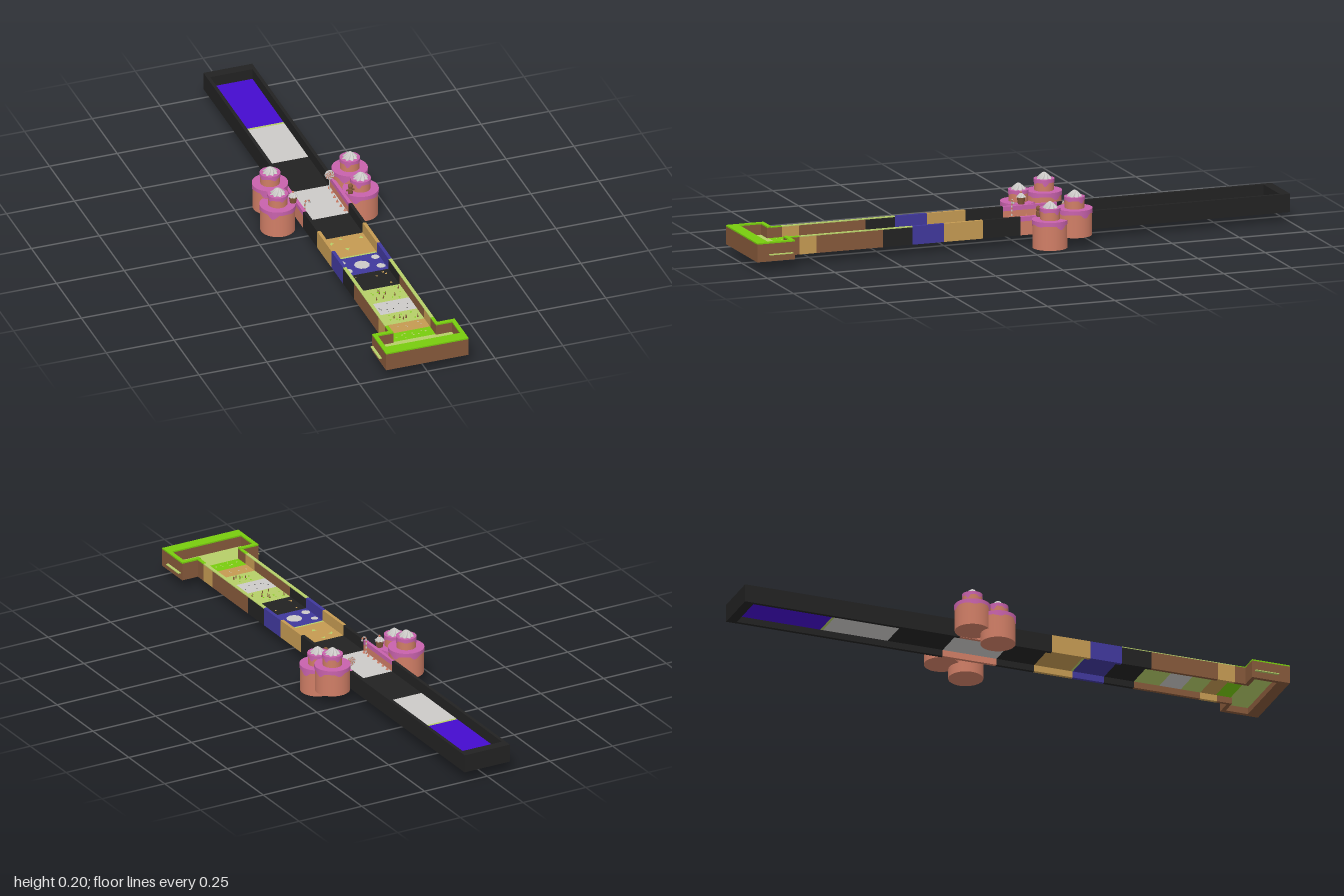
import * as THREE from 'three';

const mat = (name, color, side = THREE.FrontSide) => {
  const m = new THREE.MeshStandardMaterial({ color, side });
  m.name = name;
  return m;
};
const M = {
  brown: mat('earth brown', 0x85583a),
  black: mat('charcoal', 0x222222),
  lime: mat('grass lime', 0x78cc0e),
  pale: mat('pale green', 0xb6ce68),
  tan: mat('sand tan', 0xc49a52),
  blue: mat('deep blue', 0x40389c),
  purple: mat('violet', 0x450bce),
  white: mat('cream white', 0xcccac8),
  salmon: mat('biscuit salmon', 0xd07e66),
  pink: mat('icing pink', 0xc862ac, THREE.DoubleSide),
};

// Small seeded random generator
let seed = 7;
const rnd = () => (seed = (seed * 16807) % 2147483647) / 2147483647;

function add(parent, name, geo, material, x = 0, y = 0, z = 0) {
  const m = new THREE.Mesh(geo, material);
  m.name = name;
  m.position.set(x, y, z);
  parent.add(m);
  return m;
}

// Box given by its limits
function block(parent, name, material, x0, x1, y0, y1, z0, z1) {
  return add(parent, name, new THREE.BoxGeometry(x1 - x0, y1 - y0, z1 - z0), material,
    (x0 + x1) / 2, (y0 + y1) / 2, (z0 + z1) / 2);
}

const BOTTOM = 0.035, TOP = 0.1, FLOOR = 0.06, OUT = 0.09, IN = 0.078;

// Flat flecks lying on the floor
function flecks(parent, name, material, n, z0, z1, size, sides = 5) {
  for (let i = 0; i < n; i++) {
    const f = add(parent, name, new THREE.CircleGeometry(size * (0.6 + 0.4 * rnd()), sides), material,
      (rnd() - 0.5) * 0.13, FLOOR + 0.002, z0 + 0.012 + rnd() * (z1 - z0 - 0.024));
    f.rotation.set(-Math.PI / 2, 0, rnd() * 6);
  }
}

// Small upright blades
function tufts(parent, material, n, z0, z1) {
  for (let i = 0; i < n; i++) {
    add(parent, 'tuft', new THREE.ConeGeometry(0.003, 0.016, 4), material,
      (rnd() - 0.5) * 0.13, FLOOR + 0.008, z0 + rnd() * (z1 - z0));
  }
}

// Icing cap: flat disc plus a skirt whose lower edge drips
function icing(parent, r, top, depth, phase) {
  const n = 48;
  const g = new THREE.CylinderGeometry(r, r, depth, n, 1, true);
  const p = g.attributes.position;
  for (let i = 0; i < p.count; i++) {
    if (p.getY(i) > 0) continue;
    const a = Math.atan2(p.getZ(i), p.getX(i));
    const drip = Math.max(0, Math.sin(5 * a + phase)) * (0.6 + 0.4 * Math.sin(2 * a + phase));
    p.setY(i, -depth / 2 + depth * 0.35 - drip * depth * 0.75);
  }
  add(parent, 'icing skirt', g, M.pink, 0, top - depth / 2, 0);
  const disc = add(parent, 'icing top', new THREE.CircleGeometry(r, n), M.pink, 0, top, 0);
  disc.rotation.x = -Math.PI / 2;
}

// Whipped cream: a dome with twisted flutes
function cream(parent, r, h, y) {
  const g = new THREE.CylinderGeometry(1, 1, h, 48, 10, true);
  const p = g.attributes.position;
  for (let i = 0; i < p.count; i++) {
    const t = THREE.MathUtils.clamp(p.getY(i) / h + 0.5, 0, 1);
    const a = Math.atan2(p.getZ(i), p.getX(i));
    const k = r * Math.pow(1 - t, 0.7) * (0.9 + 0.13 * Math.cos(8 * a + 5 * t));
    p.setX(i, Math.cos(a) * k);
    p.setZ(i, Math.sin(a) * k);
  }
  g.computeVertexNormals();
  add(parent, 'whipped cream', g, M.white, 0, y + h / 2, 0);
}

function cakeTower(parent, x, z, bottom, top) {
  const g = new THREE.Group();
  g.name = 'cakeTower';
  g.position.set(x, 0, z);
  parent.add(g);
  const tier = (r, y0, y1, depth, phase) => {
    add(g, 'cake tier', new THREE.CylinderGeometry(r, r, y1 - y0, 32), M.salmon, 0, (y0 + y1) / 2, 0);
    icing(g, r + 0.002, y1 + 0.001, depth, phase);
  };
  tier(0.061, bottom, top, 0.022, x * 20);
  tier(0.034, top, top + 0.041, 0.018, 2 + x * 10);
  cream(g, 0.028, 0.024, top + 0.041);
}

// Curved tube through points, used for cane and lollipop
function tube(parent, name, points, r, material) {
  const curve = new THREE.CatmullRomCurve3(points.map((q) => new THREE.Vector3(...q)));
  return add(parent, name, new THREE.TubeGeometry(curve, 6, r, 6), material);
}

function candies(parent) {
  // Candy cane
  const cane = new THREE.Group();
  cane.name = 'candyCane';
  cane.position.set(-0.072, 0.1, -0.03);
  parent.add(cane);
  const path = new THREE.CatmullRomCurve3([[0, -0.04], [0, 0.015], [0.004, 0.025], [0.011, 0.026], [0.016, 0.02], [0.016, 0.013]]
    .map(([x, y]) => new THREE.Vector3(x, y, 0)));
  for (let i = 0; i < 12; i++) {
    const pts = [0, 0.5, 1].map((k) => path.getPointAt((i + k) / 12).toArray());
    tube(cane, 'cane stripe', pts, 0.003, i % 2 ? M.white : M.salmon);
  }

  // Lollipop with swirl
  const lolly = new THREE.Group();
  lolly.name = 'lollipop';
  lolly.position.set(0.07, 0.122, -0.17);
  parent.add(lolly);
  add(lolly, 'lollipop disc', new THREE.CylinderGeometry(0.017, 0.017, 0.007, 32), M.white).rotation.x = Math.PI / 2;
  add(lolly, 'lollipop stick', new THREE.CylinderGeometry(0.0015, 0.0015, 0.05, 8), M.white, 0, -0.037, 0);
  for (const z of [-0.0035, 0.0035]) {
    for (let i = 0; i < 7; i++) {
      const pts = [0.002, 0.007, 0.012, 0.0165].map((r, k) => {
        const a = i * Math.PI * 2 / 7 + k * 0.35;
        return [Math.cos(a) * r, Math.sin(a) * r, z];
      });
      tube(lolly, 'lollipop swirl', pts, 0.0013, M.salmon);
    }
  }

  // Gingerbread figure
  const ginger = new THREE.Group();
  ginger.name = 'gingerbreadFigure';
  ginger.position.set(0.106, 0.1, -0.06);
  parent.add(ginger);
  add(ginger, 'head', new THREE.SphereGeometry(0.009, 16, 12), M.brown, 0, 0.03, 0);
  add(ginger, 'body', new THREE.CapsuleGeometry(0.008, 0.01, 4, 12), M.brown, 0, 0.012, 0);
  for (const s of [-1, 1]) {
    add(ginger, 'arm', new THREE.CapsuleGeometry(0.003, 0.008, 3, 8), M.brown, s * 0.009, 0.017, 0).rotation.z = s;
    add(ginger, 'leg', new THREE.CapsuleGeometry(0.004, 0.008, 3, 8), M.brown, s * 0.005, 0.003, 0);
  }

  // Cupcake
  const cup = new THREE.Group();
  cup.name = 'cupcake';
  cup.position.set(-0.1, 0.1, -0.075);
  parent.add(cup);
  add(cup, 'cupcake case', new THREE.CylinderGeometry(0.015, 0.011, 0.024, 16), M.brown, 0, 0.012, 0);
  cream(cup, 0.018, 0.016, 0.024);
  add(cup, 'cherry', new THREE.SphereGeometry(0.004, 12, 8), M.salmon, 0, 0.041, 0);
}

export function createModel() {
  const model = new THREE.Group();
  model.name = 'obstacleCourse';

  // Floor panels: z start, z end, material
  const floors = [
    [-0.965, -0.655, M.purple], [-0.655, -0.645, M.pale], [-0.645, -0.405, M.white],
    [-0.405, -0.2, M.black], [-0.2, 0, M.white], [0, 0.14, M.black], [0.14, 0.275, M.tan],
    [0.275, 0.283, M.pale], [0.283, 0.4, M.blue], [0.4, 0.51, M.black], [0.51, 0.605, M.pale],
    [0.605, 0.685, M.white], [0.685, 0.757, M.pale], [0.757, 0.815, M.tan], [0.815, 0.87, M.lime],
  ];
  for (const [z0, z1, m] of floors) block(model, 'floorPanel', m, -IN - 0.002, IN + 0.002, FLOOR - 0.002, FLOOR + 0.001, z0, z1);

  // Side walls: z start, z end, wall material, rim material
  const walls = [
    [-1, -0.2, M.black, M.black], [-0.2, 0, M.salmon, M.pink], [0, 0.14, M.black, M.black],
    [0.14, 0.283, M.tan, M.tan], [0.283, 0.4, M.blue, M.blue], [0.4, 0.51, M.black, M.pale],
    [0.51, 0.757, M.brown, M.pale], [0.757, 0.82, M.tan, M.pale], [0.82, 0.86, M.brown, M.lime],
  ];
  for (const s of [-1, 1]) {
    for (const [z0, z1, m, rim] of walls) {
      const a = Math.min(s * IN, s * OUT), b = Math.max(s * IN, s * OUT);
      const cap = rim === M.pink ? 0.016 : 0.003;
      block(model, 'sideWall', m, a, b, BOTTOM, TOP - cap, z0, z1);
      block(model, 'wallRim', rim, a, b, TOP - cap, TOP, z0, z1);
    }
  }
  block(model, 'endWall', M.black, -IN, IN, BOTTOM, TOP, -1, -0.965);

  // Wide starting bay
  const bay = [[-0.152, 0.152, 0.957, 1]];
  for (const s of [-1, 1]) {
    bay.push(s > 0 ? [0.137, 0.152, 0.875, 0.957] : [-0.152, -0.137, 0.875, 0.957]);
    bay.push(s > 0 ? [IN, 0.152, 0.86, 0.875] : [-0.152, -IN, 0.86, 0.875]);
  }
  for (const [x0, x1, z0, z1] of bay) {
    block(model, 'bayWall', M.brown, x0, x1, BOTTOM, TOP - 0.002, z0, z1);
    block(model, 'bayRim', M.lime, x0, x1, TOP - 0.002, TOP + 0.003, z0, z1);
  }
  block(model, 'bayFloor', M.pale, -0.162, 0.162, FLOOR - 0.002, FLOOR + 0.001, 0.87, 0.957);

  // Floor decoration
  flecks(model, 'grassFleck', M.pale, 10, 0.815, 0.87, 0.004);
  flecks(model, 'pebble', M.white, 6, 0.757, 0.815, 0.003);
  flecks(model, 'leafFleck', M.lime, 10, 0.685, 0.757, 0.004);
  flecks(model, 'leafFleck', M.lime, 14, 0.51, 0.605, 0.004);
  flecks(model, 'stone', M.black, 10, 0.605, 0.685, 0.003);
  flecks(model, 'spark', M.tan, 6, 0.4, 0.51, 0.008, 3);
  flecks(model, 'sandLeaf', M.pale, 5, 0.14, 0.275, 0.011, 3);
  tufts(model, M.brown, 8, 0.53, 0.59);
  tufts(model, M.brown, 6, 0.7, 0.75);
  for (const [x, z, r] of [[0, 0.345, 0.028], [0.062, 0.31, 0.015], [-0.062, 0.312, 0.013], [-0.06, 0.37, 0.016], [0.06, 0.372, 0.016]]) {
    add(model, 'iceFloe', new THREE.CircleGeometry(r, 9), M.white, x, FLOOR + 0.002, z).rotation.x = -Math.PI / 2;
  }
  for (const s of [-1, 1]) {
    for (let i = 0; i < 6; i++) {
      add(model, 'candyCrumb', new THREE.ConeGeometry(0.006, 0.012, 5), M.salmon,
        s * (0.066 + 0.006 * rnd()), FLOOR + 0.006, -0.18 + i * 0.032);
    }
    // Cake towers on both sides
    cakeTower(model, s * 0.153, -0.085, 0, 0.099);
    cakeTower(model, s * 0.147, -0.178, 0.036, 0.131);
  }
  candies(model);
  return model;
}
